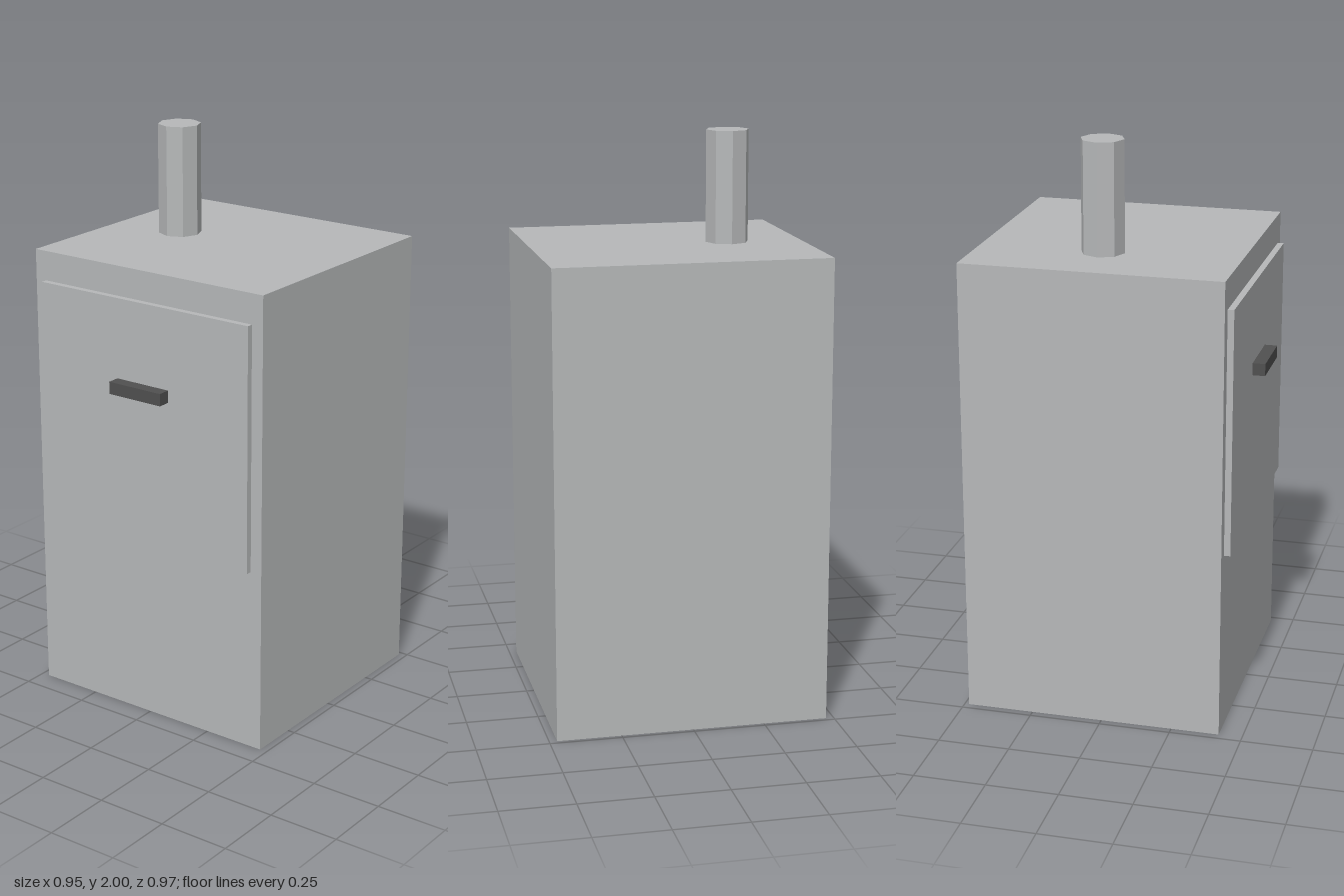
import * as THREE from 'three';

export function createModel() {
  const model = new THREE.Group();
  model.name = 'furnace';

  const steel = new THREE.MeshStandardMaterial({ color: 0xb6b8b9 });
  steel.name = 'steel grey';
  const dark = new THREE.MeshStandardMaterial({ color: 0x505050 });
  dark.name = 'dark grey';

  // Adds a box given its extents along each axis
  function addBox(name, material, [x0, x1], [y0, y1], [z0, z1]) {
    const mesh = new THREE.Mesh(new THREE.BoxGeometry(x1 - x0, y1 - y0, z1 - z0), material);
    mesh.position.set((x0 + x1) / 2, (y0 + y1) / 2, (z0 + z1) / 2);
    mesh.name = name;
    model.add(mesh);
  }

  // Cabinet, raised front door and its handle
  addBox('cabinet', steel, [-0.473, 0.473], [0, 1.614], [-0.484, 0.418]);
  addBox('door', steel, [-0.43, 0.43], [0.65, 1.51], [0.418, 0.44]);
  addBox('handle', dark, [-0.107, 0.107], [1.185, 1.228], [0.44, 0.484]);

  // Eight-sided flue pipe on the top
  const pipeGeometry = new THREE.CylinderGeometry(0.075, 0.075, 0.386, 8).toNonIndexed();
  pipeGeometry.computeVertexNormals();
  const pipe = new THREE.Mesh(pipeGeometry, steel);
  pipe.position.set(-0.215, 1.807, -0.055);
  pipe.name = 'fluePipe';
  model.add(pipe);

  return model;
}
